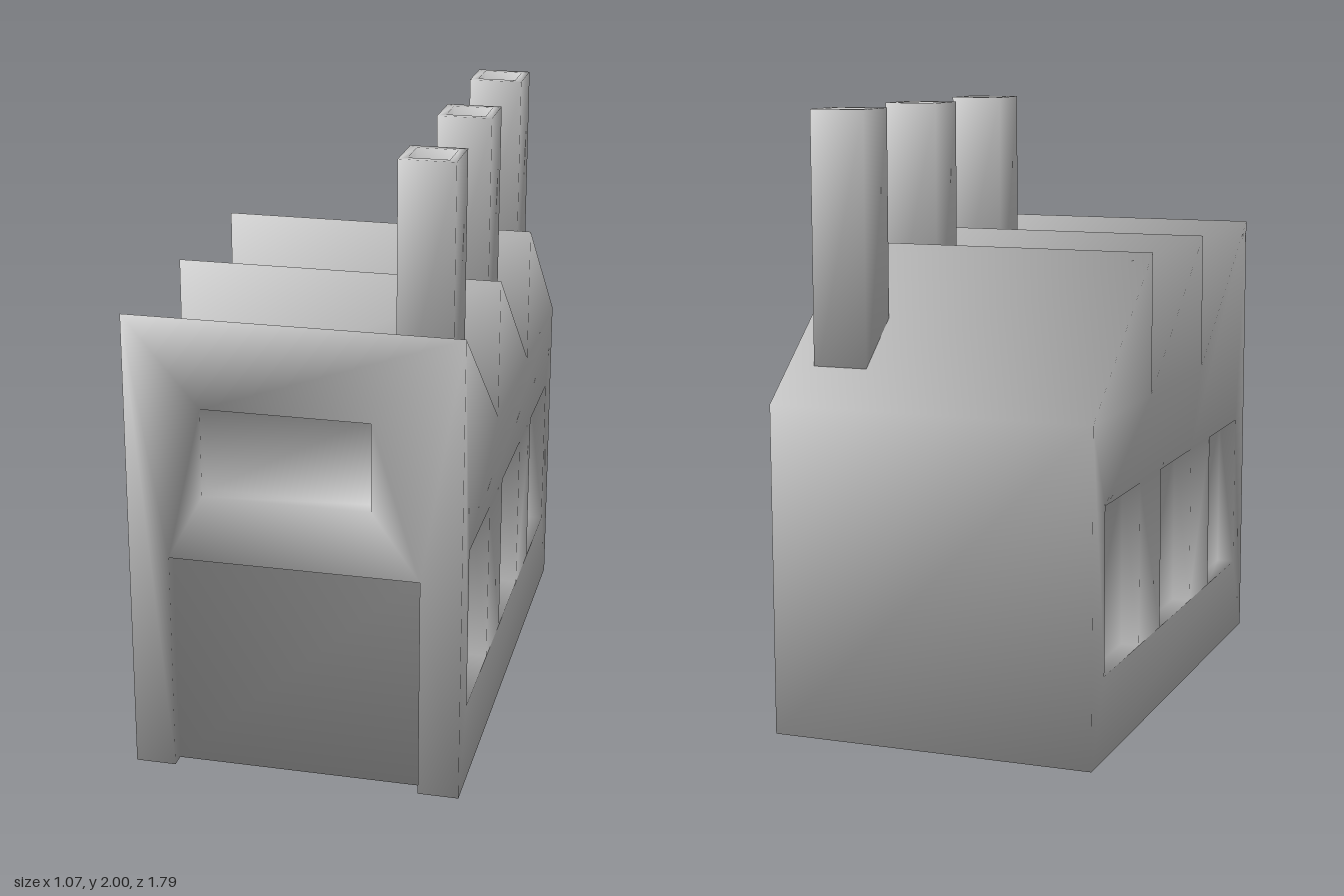
import * as THREE from 'three';
import { mergeVertices } from 'three/addons/utils/BufferGeometryUtils.js';

const HALF_W = 0.537, HALF_D = 0.895, PEAK = 1.54, VALLEY = 1.08;
const TOOTH = (HALF_D * 2) / 3;
const DEPTH = 0.06, GATE_DEPTH = 0.05; // recess depths

const material = new THREE.MeshStandardMaterial({ color: 0xcccccc });

// Frames place a point (a, b), sunk by d, on each side of the building
const frontSide = (a, b, d = 0) => [a, b, HALF_D - d];
const leftSide = (a, b, d = 0) => [HALF_W - d, b, -a];
const rightSide = (a, b, d = 0) => [d - HALF_W, b, a];
const underside = (a, b, d = 0) => [a, d, b];

const rectangle = (a0, b0, a1, b1) => [[a0, b0], [a1, b0], [a1, b1], [a0, b1]];
const toVectors = (points) => points.map(([a, b]) => new THREE.Vector2(a, b));

function addQuad(out, a, b, c, d) {
  out.push(...a, ...b, ...c, ...a, ...c, ...d);
}

// Flat polygon with holes
function addFace(out, frame, outline, holes = []) {
  const shape = new THREE.Shape(toVectors(outline));
  shape.holes = holes.map((hole) => new THREE.Path(toVectors(hole)));
  const pos = new THREE.ShapeGeometry(shape).toNonIndexed().attributes.position;
  for (let i = 0; i < pos.count; i++) out.push(...frame(pos.getX(i), pos.getY(i)));
}

// Reveals and back panel of a rectangular recess; a gate has no sill
function addRecess(out, frame, rect, depth, hasSill = true) {
  rect.forEach((p, i) => {
    const q = rect[(i + 1) % 4];
    if (i > 0 || hasSill) addQuad(out, frame(...p), frame(...q), frame(...q, depth), frame(...p, depth));
  });
  addQuad(out, ...rect.map((p) => frame(...p, depth)));
}

// Shared vertices, with normals weighted by the corner angle of each face
function smoothGeometry(positions) {
  const soup = new THREE.BufferGeometry();
  soup.setAttribute('position', new THREE.Float32BufferAttribute(positions, 3));
  const geometry = mergeVertices(soup);
  const pos = geometry.attributes.position, index = geometry.index;
  const normals = Array.from({ length: pos.count }, () => new THREE.Vector3());
  for (let i = 0; i < index.count; i += 3) {
    const ids = [0, 1, 2].map((k) => index.getX(i + k));
    const p = ids.map((id) => new THREE.Vector3().fromBufferAttribute(pos, id));
    const faceNormal = new THREE.Triangle(...p).getNormal(new THREE.Vector3());
    ids.forEach((id, k) => {
      const u = p[(k + 1) % 3].clone().sub(p[k]), v = p[(k + 2) % 3].clone().sub(p[k]);
      normals[id].addScaledVector(faceNormal, u.angleTo(v));
    });
  }
  const flat = normals.flatMap((n) => n.normalize().toArray());
  geometry.setAttribute('normal', new THREE.Float32BufferAttribute(flat, 3));
  return geometry;
}

function makeMesh(name, positions) {
  const mesh = new THREE.Mesh(smoothGeometry(positions), material);
  mesh.name = name;
  return mesh;
}

function makeBuilding() {
  const out = [];

  // Side walls with a saw-tooth top and three windows each
  for (const [frame, sign] of [[leftSide, -1], [rightSide, 1]]) {
    const outline = [[-HALF_D * sign, 0], [HALF_D * sign, 0]];
    for (let i = 0; i < 3; i++) {
      const z = HALF_D - i * TOOTH;
      outline.push([z * sign, PEAK], [(z - TOOTH) * sign, VALLEY]);
    }
    const windows = [0.6, 0, -0.595].map((z) => rectangle(z * sign - 0.18, 0.27, z * sign + 0.18, 0.81));
    addFace(out, frame, outline, windows);
    windows.forEach((rect) => addRecess(out, frame, rect, DEPTH));
  }

  // Front wall with a gate reaching the ground and a window above it
  const gate = rectangle(-0.405, 0, 0.405, 0.74);
  const frontWindow = rectangle(-0.29, 0.96, 0.25, 1.25);
  addFace(out, frontSide, [
    [-HALF_W, 0], gate[0], gate[3], gate[2], gate[1],
    [HALF_W, 0], [HALF_W, PEAK], [-HALF_W, PEAK],
  ], [frontWindow]);
  addRecess(out, frontSide, frontWindow, DEPTH);
  addRecess(out, frontSide, gate, GATE_DEPTH, false);

  // Underside, notched at the gate
  const back = HALF_D - GATE_DEPTH;
  addFace(out, underside, [
    [-HALF_W, -HALF_D], [HALF_W, -HALF_D], [HALF_W, HALF_D], [0.405, HALF_D],
    [0.405, back], [-0.405, back], [-0.405, HALF_D], [-HALF_W, HALF_D],
  ]);

  // Roof slopes and the upright faces between them
  const across = (y, z) => [[-HALF_W, y, z], [HALF_W, y, z]];
  for (let i = 0; i < 3; i++) {
    const z = HALF_D - i * TOOTH;
    const [ridgeR, ridgeL] = across(PEAK, z);
    const [valleyR, valleyL] = across(VALLEY, z - TOOTH);
    addQuad(out, ridgeR, ridgeL, valleyL, valleyR);
    if (i > 0) addQuad(out, ...across(VALLEY, z), ridgeL, ridgeR);
  }

  // Back wall
  addQuad(out, ...across(0, -HALF_D).reverse(), ...across(VALLEY, -HALF_D));
  return makeMesh('building', out);
}

// Square chimney, hollow at the top
function makeChimney() {
  const out = [], height = 0.9;
  const top = (a, b, d = 0) => [a, height - d, -b];
  const outer = rectangle(-0.091, -0.091, 0.091, 0.091);
  const flue = rectangle(-0.065, -0.065, 0.065, 0.065);
  addFace(out, top, outer, [flue]);
  addRecess(out, top, flue, 0.1);
  outer.forEach((p, i) => {
    const q = outer[(i + 1) % 4];
    addQuad(out, top(...p, height), top(...q, height), top(...q), top(...p));
  });
  addFace(out, underside, outer);
  return makeMesh('chimney', out);
}

export function createModel() {
  const group = new THREE.Group();
  group.name = 'factory';
  group.add(makeBuilding());
  for (const z of [0.522, -0.08, -0.665]) {
    const chimney = makeChimney();
    chimney.position.set(0.356, 1.1, z);
    group.add(chimney);
  }
  return group;
}
